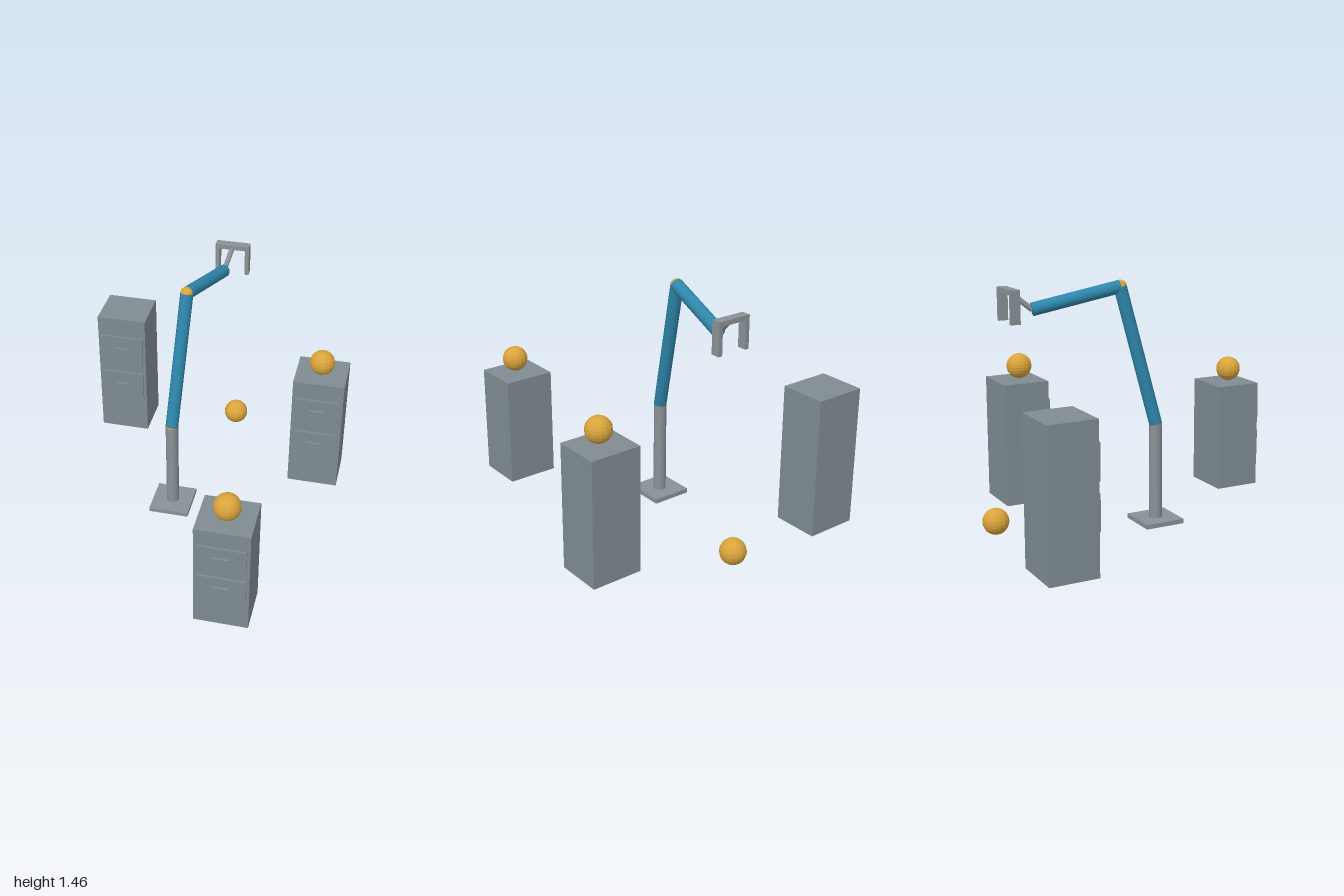
import * as THREE from 'three';

const material = (name, color, extra = {}) => {
  const m = new THREE.MeshStandardMaterial({ color, ...extra });
  m.name = name;
  return m;
};

export function createModel() {
  const cabinetGrey = material('cabinet grey', 0x7f8c92);
  const metalGrey = material('metal grey', 0x8a9196);
  const armBlue = material('arm blue', 0x2e86ab);
  const gold = material('gold', 0xd9a43b, { flatShading: true });

  const model = new THREE.Group();
  model.name = 'robotArmScene';

  const add = (parent, name, geometry, mat, x, y, z) => {
    const mesh = new THREE.Mesh(geometry, mat);
    mesh.name = name;
    mesh.position.set(x, y, z);
    parent.add(mesh);
    return mesh;
  };
  const box = (parent, name, mat, w, h, d, x, y, z) =>
    add(parent, name, new THREE.BoxGeometry(w, h, d), mat, x, y, z);
  const ball = (parent, name, r, x, y, z) =>
    add(parent, name, new THREE.SphereGeometry(r, 16, 12), gold, x, y, z);

  // Cylinder running from point a to point b
  const rod = (parent, name, mat, r, a, b) => {
    const dir = b.clone().sub(a);
    const mid = a.clone().add(b).multiplyScalar(0.5);
    const mesh = add(parent, name, new THREE.CylinderGeometry(r, r, dir.length(), 24), mat, mid.x, mid.y, mid.z);
    mesh.quaternion.setFromUnitVectors(new THREE.Vector3(0, 1, 0), dir.normalize());
    return mesh;
  };

  // Two-drawer cabinets, with heights that scale the drawers
  const W = 0.317, D = 0.29;
  const cabinet = (name, x, z, h) => {
    const group = new THREE.Group();
    group.name = name;
    group.position.set(x, 0, z);
    box(group, 'cabinetBody', cabinetGrey, W, h, D, 0, h / 2, 0);
    for (const [label, level] of [['lower', 0.409], ['upper', 0.729]]) {
      box(group, label + 'DrawerFront', cabinetGrey, 0.282, 0.245 * h, 0.011, 0, level * h, D / 2 + 0.0095);
      box(group, label + 'DrawerHandle', cabinetGrey, 0.096, 0.012, 0.015, 0, (level + 0.021) * h, D / 2 + 0.0215);
    }
    model.add(group);
  };
  cabinet('tallCabinet', -0.672, -0.833, 0.86);
  cabinet('middleCabinet', 0.672, -0.523, 0.77);
  cabinet('shortCabinet', 0.359, 0.826, 0.68);

  // Balls on two cabinets and one on the floor
  const R = 0.078;
  ball(model, 'middleCabinetBall', R, 0.671, 0.852, -0.507);
  ball(model, 'shortCabinetBall', R, 0.36, 0.762, 0.842);
  ball(model, 'floorBall', R, 0.058, 0.082, -0.922);

  // Arm: base, post and two jointed segments
  const arm = new THREE.Group();
  arm.name = 'robotArm';
  model.add(arm);
  const foot = new THREE.Vector3(-0.157, 0.02, 0.013);
  const shoulder = new THREE.Vector3(-0.157, 0.6, 0.013);
  const elbow = new THREE.Vector3(-0.109, 1.42, -0.194);
  const wrist = new THREE.Vector3(0.005, 1.308, -0.692);
  const hand = new THREE.Vector3(0.034, 1.418, -0.819);
  const r = 0.0385;
  box(arm, 'basePlate', metalGrey, 0.246, 0.028, 0.246, foot.x, 0.014, foot.z);
  rod(arm, 'post', metalGrey, r, foot, shoulder);
  ball(arm, 'shoulderJoint', r, ...shoulder);
  rod(arm, 'upperArm', armBlue, r, shoulder, elbow);
  ball(arm, 'elbowJoint', r, ...elbow);
  rod(arm, 'forearm', armBlue, r, elbow, wrist);
  rod(arm, 'wristRod', metalGrey, 0.0155, wrist, hand);

  // Gripper: crossbar with two fingers hanging down
  const gripper = new THREE.Group();
  gripper.name = 'gripper';
  gripper.position.copy(hand);
  arm.add(gripper);
  box(gripper, 'crossbar', metalGrey, 0.21, 0.028, 0.056, 0, 0, 0);
  for (const side of [-1, 1]) {
    box(gripper, side > 0 ? 'leftFinger' : 'rightFinger', metalGrey, 0.025, 0.165, 0.056, side * 0.0925, -0.0955, 0);
  }

  return model;
}
